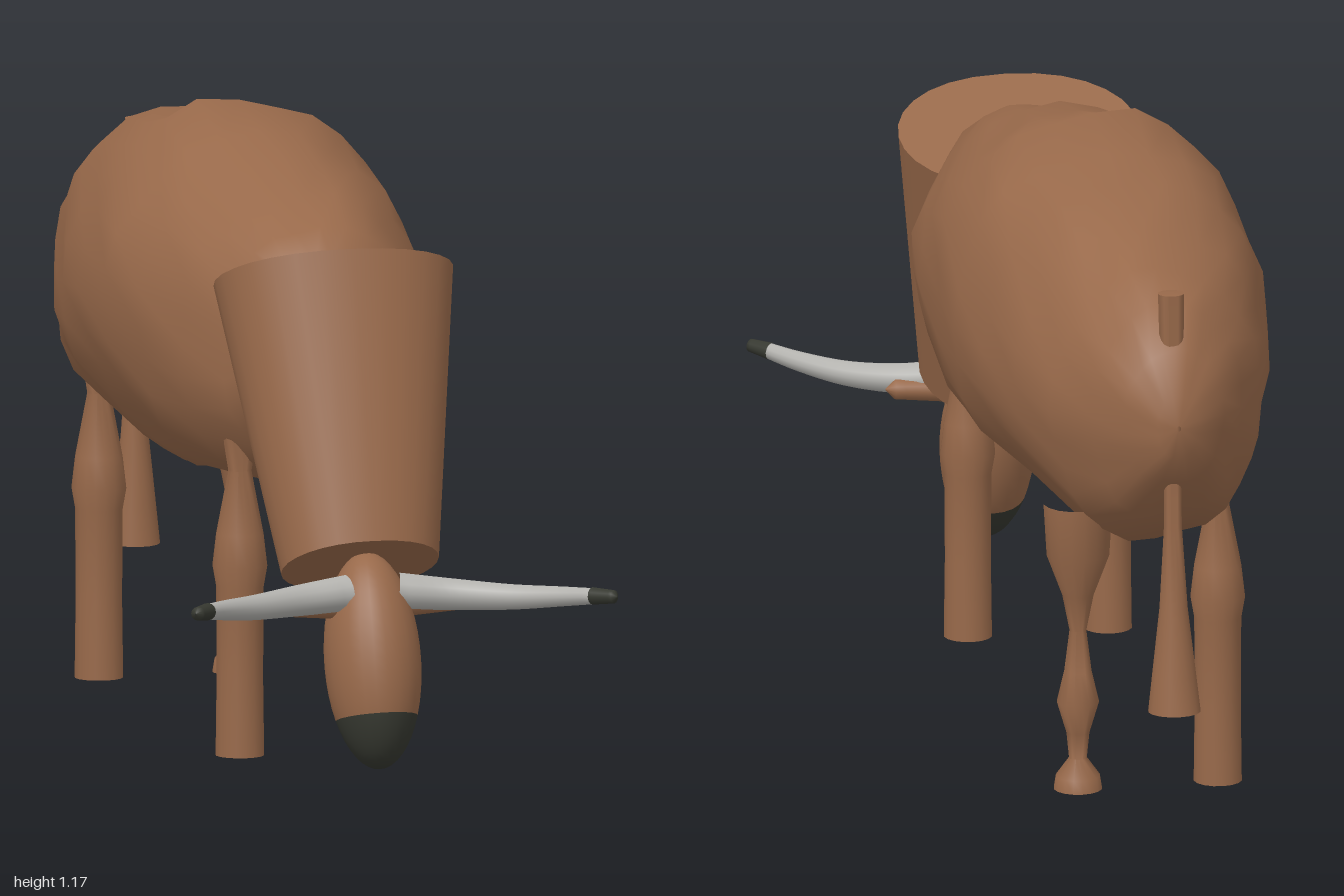
import * as THREE from 'three';
import { toCreasedNormals } from 'three/addons/utils/BufferGeometryUtils.js';

const paint = (name, color) => {
  const m = new THREE.MeshStandardMaterial({ color });
  m.name = name;
  return m;
};

// Loft of elliptical rings; each section is { y, z, uy, uz, w }: centre, half-height vector, half-width
function loft(sections, sides, lump = () => 1) {
  const pos = [], idx = [];
  sections.forEach((s, i) => {
    for (let j = 0; j < sides; j++) {
      const a = (j / sides) * Math.PI * 2;
      const k = lump(s.z, a);
      const c = Math.cos(a), n = Math.sin(a);
      const cx = Math.sign(c) * Math.abs(c) ** 0.9, sy = n * k;
      pos.push(s.w * cx * k, s.y + s.uy * sy, s.z + s.uz * sy);
      if (i === sections.length - 1) continue;
      const p = i * sides + j, q = i * sides + ((j + 1) % sides);
      idx.push(p, p + sides, q, q, p + sides, q + sides);
    }
  });
  const g = new THREE.BufferGeometry();
  g.setAttribute('position', new THREE.Float32BufferAttribute(pos, 3));
  g.setIndex(idx);
  g.computeVertexNormals();
  return g;
}

// Tube along points whose radius runs from r0 to r1, closed at the far end
function taperedTube(points, r0, r1, steps, close) {
  const curve = new THREE.CatmullRomCurve3(points.map((p) => new THREE.Vector3(...p)));
  const g = new THREE.TubeGeometry(curve, steps, 1, 12, false);
  const p = g.attributes.position, v = new THREE.Vector3();
  for (let i = 0; i < p.count; i++) {
    const t = Math.floor(i / 13) / steps;
    const c = curve.getPointAt(t);
    const r = close && t === 1 ? 0.001 : r0 + (r1 - r0) * t;
    v.fromBufferAttribute(p, i).sub(c).multiplyScalar(r).add(c);
    p.setXYZ(i, v.x, v.y, v.z);
  }
  g.computeVertexNormals();
  return g;
}

const lathe = (profile) =>
  toCreasedNormals(new THREE.LatheGeometry(profile.map(([r, y]) => new THREE.Vector2(r, y)), 16), 0.8);

export function createModel() {
  const model = new THREE.Group();
  const hide = paint('brown hide', 0x98694a);
  const horn = paint('grey horn', 0xb2b1ad);
  const dark = paint('dark muzzle and hoof', 0x363830);
  const add = (name, geo, mat, parent = model) => {
    const m = new THREE.Mesh(geo, mat);
    m.name = name;
    parent.add(m);
    return m;
  };

  // Lumpy body, front to rear: z, bottom, top, half-width
  const body = [
    [0.505, 0.8, 0.81, 0.005], [0.46, 0.67, 0.96, 0.11], [0.38, 0.54, 1.01, 0.19], [0.25, 0.5, 1.05, 0.24],
    [0.1, 0.49, 1.09, 0.28], [-0.05, 0.485, 1.12, 0.3], [-0.2, 0.475, 1.165, 0.305], [-0.35, 0.485, 1.13, 0.3],
    [-0.5, 0.49, 1.12, 0.275], [-0.65, 0.49, 1.07, 0.24], [-0.78, 0.5, 1.03, 0.2], [-0.88, 0.57, 0.99, 0.145],
    [-0.95, 0.66, 0.92, 0.095], [-0.985, 0.72, 0.84, 0.04], [-0.99, 0.775, 0.785, 0.004],
  ].map(([z, b, t, w]) => ({ y: (b + t) / 2, z, uy: (t - b) / 2, uz: 0, w }));
  const lump = (z, a) => 1 + 0.022 * Math.sin(5 * a + 7 * z) + 0.016 * Math.sin(9 * a - 17 * z + 1);
  add('body', loft(body, 28, lump), hide);

  // Thick neck sloping down to the head, flat at both ends
  const low = { y: 0.408, z: 0.665, uy: 0.063, uz: 0.115, w: 0.15 };
  const high = { y: 0.93, z: 0.475, uy: 0.07, uz: 0.135, w: 0.23 };
  const shut = (s) => ({ ...s, uy: s.uy * 0.002, uz: s.uz * 0.002, w: s.w * 0.002 });
  add('neck', toCreasedNormals(loft([shut(low), low, high, shut(high)], 28), 0.7), hide);

  // Head hanging low, with a dark muzzle at its lower end
  const head = new THREE.Group();
  head.name = 'head';
  head.position.set(0, 0.24, 0.755);
  head.rotation.x = -0.27;
  head.scale.set(0.09, 0.205, 0.105);
  const split = 2.13;
  add('face', new THREE.SphereGeometry(1, 24, 16, 0, Math.PI * 2, 0, split), hide, head);
  add('muzzle', new THREE.SphereGeometry(1, 24, 8, 0, Math.PI * 2, split, Math.PI - split), dark, head);
  model.add(head);

  // Leg profiles: radius, height
  const plainLeg = [[0.046, 0], [0.044, 0.15], [0.045, 0.32], [0.052, 0.36], [0.045, 0.42], [0.022, 0.54], [0.04, 0.65]];
  const thinLeg = [[0.046, 0], [0.042, 0.025], [0.017, 0.06], [0.022, 0.11], [0.04, 0.17], [0.026, 0.23],
    [0.016, 0.31], [0.03, 0.38], [0.06, 0.46], [0.066, 0.56]];

  for (const s of [1, -1]) {
    const side = s > 0 ? 'left' : 'right';

    // Horn sweeping out and forward, with a dark tip
    add(side + 'Horn', taperedTube([[0.05, 0.37, 0.755], [0.15, 0.363, 0.775], [0.25, 0.362, 0.83],
      [0.33, 0.37, 0.9], [0.378, 0.377, 0.958]].map(([x, y, z]) => [s * x, y, z]), 0.035, 0.015, 20, false), horn);
    add(side + 'HornTip', taperedTube([[s * 0.374, 0.377, 0.953], [s * 0.41, 0.38, 0.997]],
      0.0165, 0.012, 8, true), dark);

    // Short ear behind the horn
    add(side + 'Ear', taperedTube([[s * 0.05, 0.345, 0.745], [s * 0.197, 0.35, 0.755]], 0.026, 0.018, 8, true), hide);

    // Front and rear legs with dark soles; the left rear leg is the slender one
    for (const [end, z] of [['Front', 0.3], ['Rear', -0.705]]) {
      const leg = new THREE.Group();
      leg.name = side + end + 'Leg';
      leg.position.set(s * 0.134, 0, z);
      add('shank', lathe(end === 'Rear' && s > 0 ? thinLeg : plainLeg), hide, leg);
      const sole = add('sole', new THREE.CircleGeometry(0.046, 16), dark, leg);
      sole.rotation.x = Math.PI / 2;
      model.add(leg);
    }
  }

  // Tail standing above the rump and flaring to a tuft
  const tail = add('tail', lathe([[0, 0], [0.05, 0], [0.042, 0.07], [0.027, 0.2], [0.017, 0.36], [0.017, 0.5],
    [0.022, 0.65], [0.025, 0.81], [0, 0.812]]), hide);
  tail.position.set(0, 0.215, -0.948);
  tail.rotation.x = 0.038;

  return model;
}
